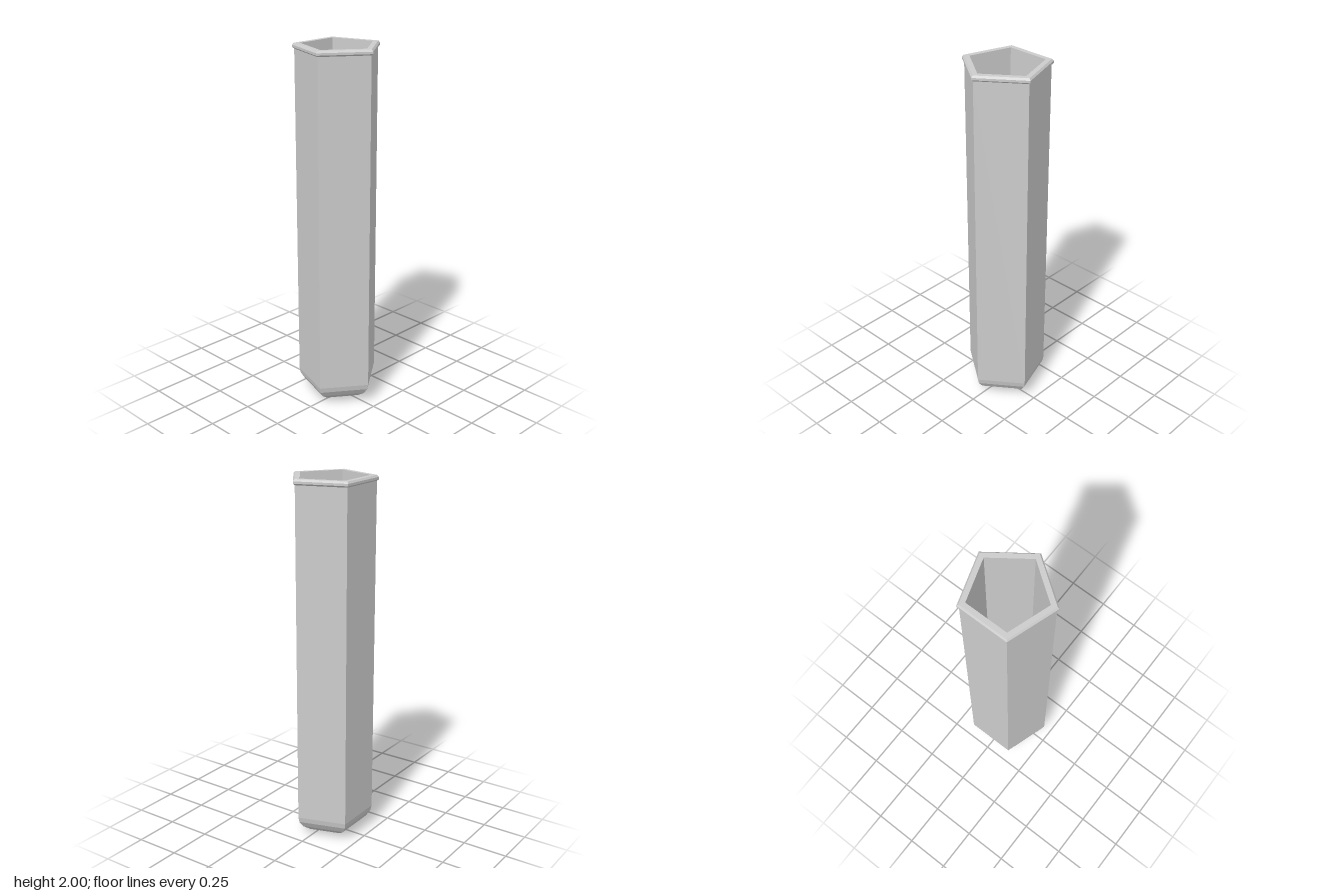
import * as THREE from 'three';

const SIDES = 5;
const CENTRE_Z = -0.024; // centres the pentagon's bounding box

const material = new THREE.MeshStandardMaterial({ color: 0xcccccc, flatShading: true });

// Five-sided revolved part with one corner pointing to the front
function pentagonalPart(name, profile) {
  const points = profile.map(([r, y]) => new THREE.Vector2(r, y));
  const geometry = new THREE.LatheGeometry(points, SIDES).toNonIndexed();
  geometry.computeVertexNormals();
  const mesh = new THREE.Mesh(geometry, material);
  mesh.name = name;
  mesh.position.z = CENTRE_Z;
  return mesh;
}

export function createModel() {
  const group = new THREE.Group();
  group.name = 'pentagonalTube';

  // Rounded underside with a small shallow recess
  group.add(pentagonalPart('roundedBase', [
    [0, 0.02], [0.068, 0.02], [0.074, 0], [0.15, 0.022],
    [0.198, 0.055], [0.224, 0.09], [0.231, 0.12],
  ]));

  // Straight outer walls
  group.add(pentagonalPart('outerWall', [[0.231, 0.12], [0.231, 1.97]]));

  // Bevelled lip
  group.add(pentagonalPart('rim', [
    [0.231, 1.97], [0.242, 1.978], [0.242, 1.99], [0.232, 2], [0.2, 2],
  ]));

  // Inner walls and flat floor
  group.add(pentagonalPart('innerCavity', [[0.2, 2], [0.2, 0.12], [0, 0.12]]));

  return group;
}
